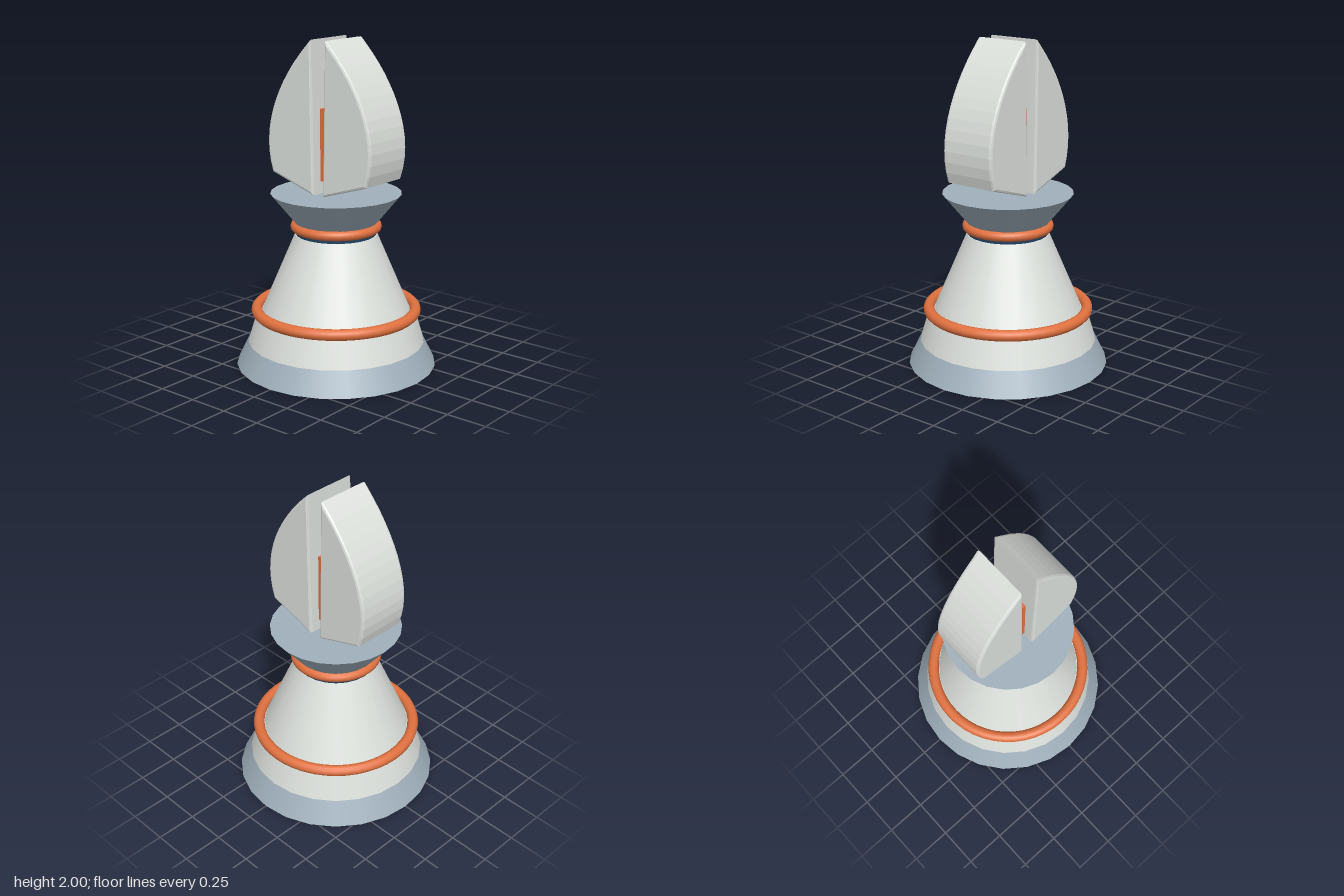
import * as THREE from 'three';

function flat(name, color) {
  const m = new THREE.MeshStandardMaterial({ color });
  m.name = name;
  return m;
}

export function createModel() {
  const white = flat('offWhite', 0xdde1dc);
  const slate = flat('slateBlue', 0xa0b0bc);
  const orange = flat('orange', 0xe0713f);
  const navy = flat('navy', 0x1f4060);
  const group = new THREE.Group();

  function add(name, geometry, material, y = 0) {
    const mesh = new THREE.Mesh(geometry, material);
    mesh.name = name;
    mesh.position.y = y;
    group.add(mesh);
    return mesh;
  }
  // Tapered round section between two heights
  function taper(name, y0, r0, y1, r1, material) {
    add(name, new THREE.CylinderGeometry(r1, r0, y1 - y0, 24), material, (y0 + y1) / 2);
  }
  function ring(name, y, radius, tube) {
    add(name, new THREE.TorusGeometry(radius, tube, 12, 48).rotateX(Math.PI / 2), orange, y);
  }

  // Stacked body
  taper('foot', 0, 0.615, 0.145, 0.543, slate);
  taper('skirt', 0.145, 0.543, 0.345, 0.483, white);
  taper('cone', 0.34, 0.455, 0.82, 0.25, white);
  taper('neck', 0.82, 0.245, 0.87, 0.245, navy);
  taper('collar', 0.865, 0.226, 1.075, 0.397, slate);
  ring('lowerRing', 0.343, 0.487, 0.034);
  ring('upperRing', 0.868, 0.247, 0.03);

  // Split mitre head: two mirrored bevelled halves
  const bevel = 0.015, depth = 0.35;
  for (const side of [1, -1]) {
    const s = new THREE.Shape();
    s.moveTo(side * 0.037, 1.08);
    s.lineTo(side * 0.355, 1.18);
    s.bezierCurveTo(side * 0.47, 1.48, side * 0.27, 1.8, side * 0.055, 2);
    s.closePath();
    const half = new THREE.ExtrudeGeometry(s, {
      depth: depth - 2 * bevel, curveSegments: 14, bevelEnabled: true,
      bevelSize: bevel, bevelOffset: -bevel, bevelThickness: bevel, bevelSegments: 2,
    });
    half.translate(0, 0, bevel - depth / 2);
    add(side > 0 ? 'leftHeadHalf' : 'rightHeadHalf', half, white);
  }

  // Slab in the slot between the halves
  add('core', new THREE.BoxGeometry(0.05, 0.435, 0.236), orange, 1.378);

  return group;
}
